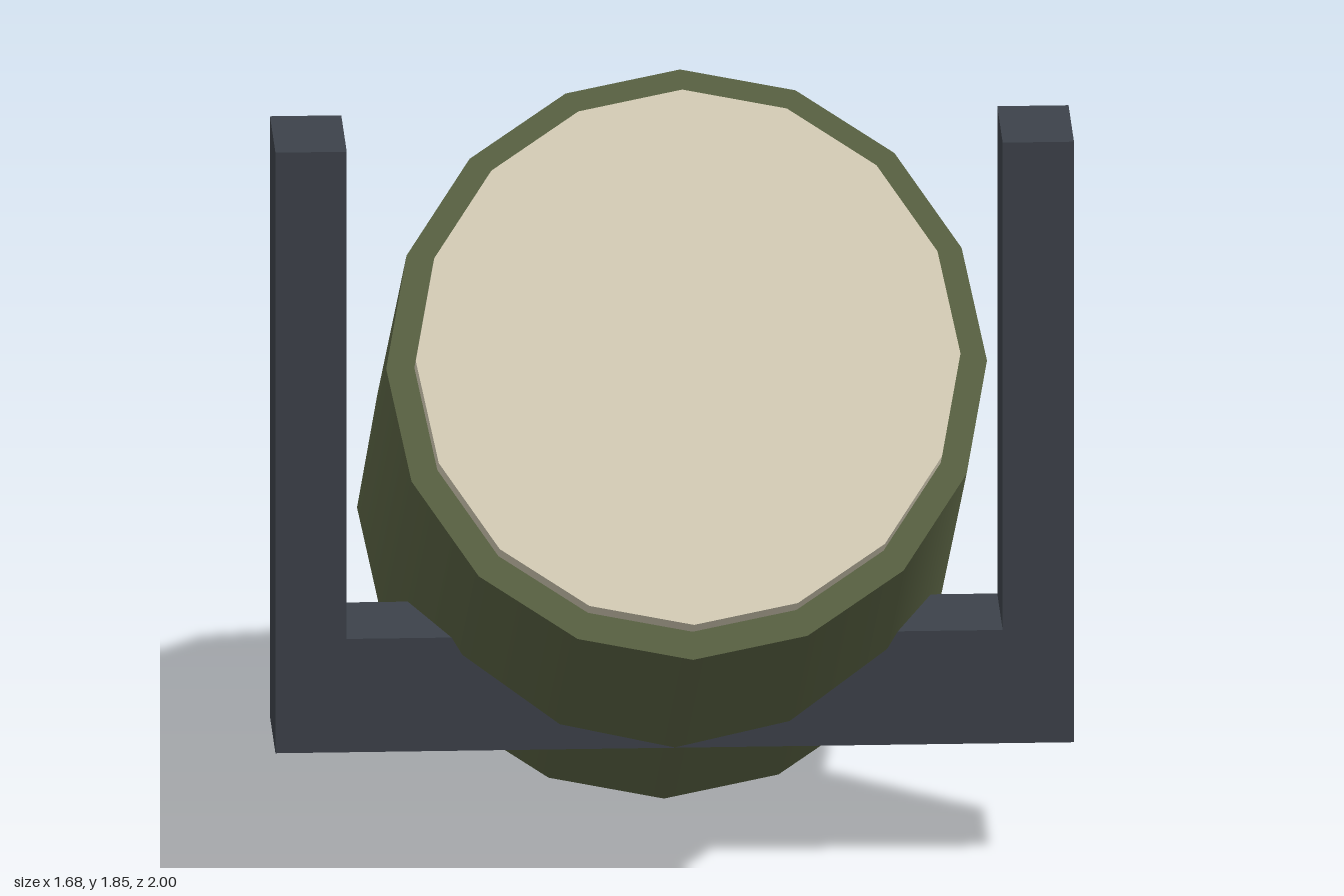
import * as THREE from 'three';

export function createModel() {
  const olive = new THREE.MeshStandardMaterial({ color: 0x5b6444 });
  olive.name = 'olive paint';
  const cream = new THREE.MeshStandardMaterial({ color: 0xdbd3bb });
  cream.name = 'cream lens';
  const slate = new THREE.MeshStandardMaterial({ color: 0x3d424a });
  slate.name = 'slate metal';

  const model = new THREE.Group();
  model.name = 'floodlight';

  // Lamp head, tilted upwards about the bracket's centre; local +y is the beam axis
  const length = 1.536;
  const head = new THREE.Group();
  head.name = 'lampHead';
  head.position.set(0, 0.927, -0.023);
  head.rotation.x = Math.PI / 2 - 0.5;
  model.add(head);

  const addDrum = (name, radius, height, y, material) => {
    const mesh = new THREE.Mesh(new THREE.CylinderGeometry(radius, radius, height, 16), material);
    mesh.name = name;
    mesh.position.y = y;
    head.add(mesh);
  };
  addDrum('housing', 0.632, length, 0, olive);
  // Lens disc stands just clear of the housing
  addDrum('lens', 0.573, 0.076, length / 2 + 0.0445, cream);

  // U-shaped mounting bracket
  const outer = 0.84, inner = 0.69, bottom = 0.275, floor = 0.525, top = 1.6, depth = 0.252;
  const profile = new THREE.Shape([
    [-outer, bottom], [outer, bottom], [outer, top], [inner, top],
    [inner, floor], [-inner, floor], [-inner, top], [-outer, top],
  ].map(([x, y]) => new THREE.Vector2(x, y)));
  const bracket = new THREE.Mesh(
    new THREE.ExtrudeGeometry(profile, { depth, bevelEnabled: false }), slate);
  bracket.name = 'bracket';
  bracket.position.z = -0.023 - depth / 2;
  model.add(bracket);

  return model;
}
